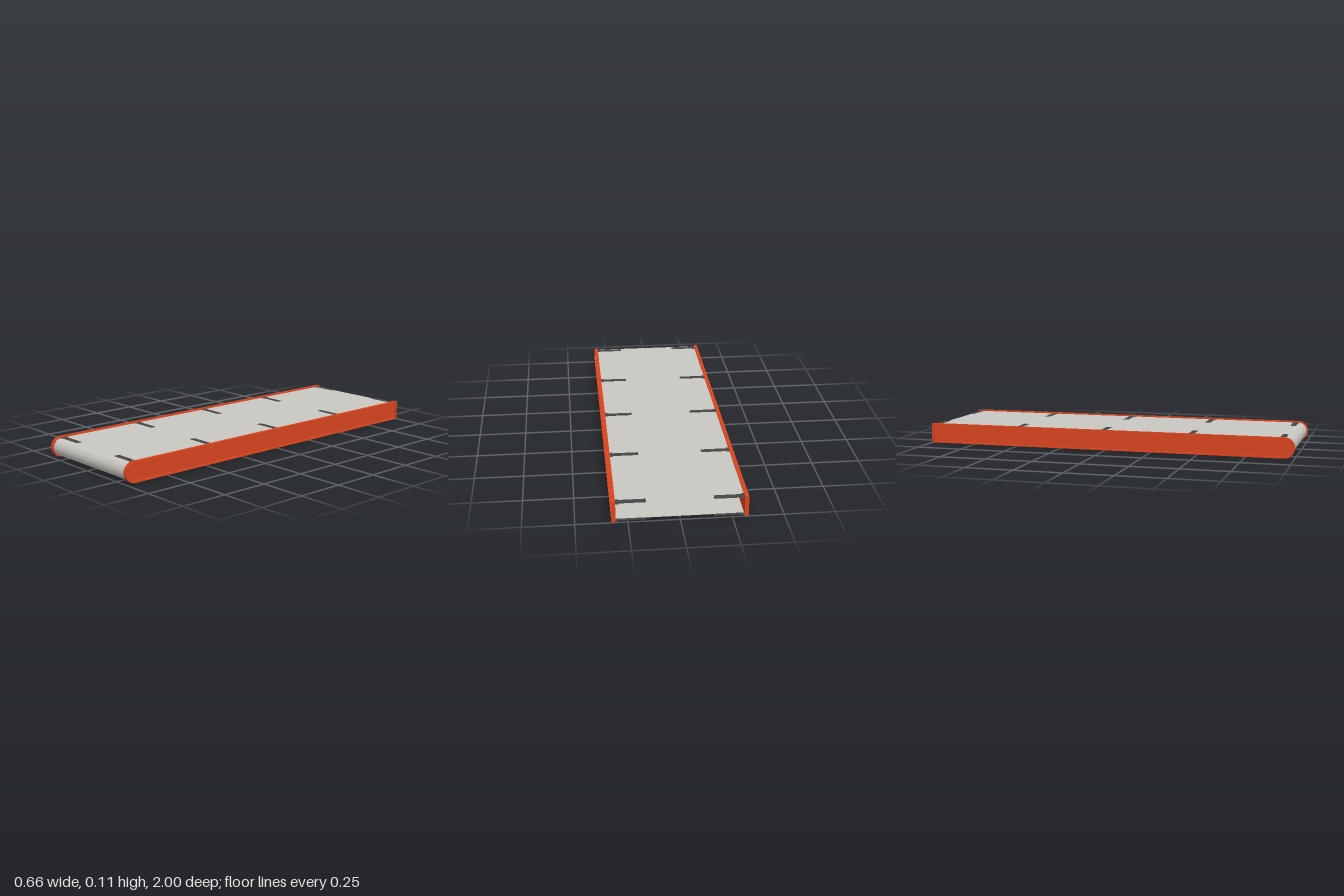
import * as THREE from 'three';

const CENTRE_Y = 0.0535; // mid height shared by rails and belt
const NOSE_Z = 0.9465;   // centre of the rounded front end

// Outline in the z-y plane: square at the back, half round at the front
function noseOutline(PathType, back, r) {
  const p = new PathType();
  p.moveTo(back, CENTRE_Y - r);
  p.lineTo(NOSE_Z, CENTRE_Y - r);
  p.absarc(NOSE_Z, CENTRE_Y, r, -Math.PI / 2, Math.PI / 2, false);
  p.lineTo(back, CENTRE_Y + r);
  p.closePath();
  return p;
}

// Extrude a z-y outline sideways, centred on x = 0
function extrudeAcross(shape, width) {
  const g = new THREE.ExtrudeGeometry(shape, { depth: width, bevelEnabled: false, curveSegments: 8 });
  g.translate(0, 0, -width / 2);
  g.rotateY(-Math.PI / 2);
  return g;
}

export function createModel() {
  const model = new THREE.Group();
  model.name = 'conveyor';
  const red = new THREE.MeshStandardMaterial({ color: 0xd9441f });
  red.name = 'orange red paint';
  const grey = new THREE.MeshStandardMaterial({ color: 0xc8c6c0 });
  grey.name = 'light grey belt';
  const dark = new THREE.MeshStandardMaterial({ color: 0x464646 });
  dark.name = 'dark grey metal';

  const add = (parent, name, geometry, material, x = 0, y = 0, z = 0) => {
    const mesh = new THREE.Mesh(geometry, material);
    mesh.name = name;
    mesh.position.set(x, y, z);
    parent.add(mesh);
  };

  // Belt: thin sheet wrapped around the nose, open at the back
  const outer = 0.047, inner = 0.0455, back = -0.978;
  const sheet = new THREE.Shape();
  sheet.moveTo(back, CENTRE_Y - outer);
  sheet.lineTo(NOSE_Z, CENTRE_Y - outer);
  sheet.absarc(NOSE_Z, CENTRE_Y, outer, -Math.PI / 2, Math.PI / 2, false);
  sheet.lineTo(back, CENTRE_Y + outer);
  sheet.lineTo(back, CENTRE_Y + inner);
  sheet.lineTo(NOSE_Z, CENTRE_Y + inner);
  sheet.absarc(NOSE_Z, CENTRE_Y, inner, Math.PI / 2, -Math.PI / 2, true);
  sheet.lineTo(back, CENTRE_Y - inner);
  sheet.closePath();
  add(model, 'belt', extrudeAcross(sheet, 0.618), grey);

  // Side rails: a web on the inside with a rim standing outward
  const rim = noseOutline(THREE.Shape, -1, 0.0535);
  rim.holes.push(noseOutline(THREE.Path, -0.993, 0.0465));
  const rimGeometry = extrudeAcross(rim, 0.02);
  const webGeometry = extrudeAcross(noseOutline(THREE.Shape, -0.995, 0.05), 0.006);

  // Support arms: thin strips with a wider foot at the rail
  const armGeometry = new THREE.BoxGeometry(0.14, 0.002, 0.03);
  const footGeometry = new THREE.BoxGeometry(0.016, 0.002, 0.044);

  for (const side of [-1, 1]) {
    const rail = new THREE.Group();
    rail.name = side > 0 ? 'leftRail' : 'rightRail';
    add(rail, 'railRim', rimGeometry, red, side * 0.318);
    add(rail, 'railWeb', webGeometry, red, side * 0.3115);
    model.add(rail);

    for (let i = 0; i < 5; i++) {
      const z = -0.978 + i * 0.478;
      for (const level of [-1, 1]) {
        const y = CENTRE_Y + level * 0.0466;
        add(model, 'supportArm', armGeometry, dark, side * 0.232, y, z);
        add(model, 'supportFoot', footGeometry, dark, side * 0.301, y, z);
      }
    }
  }
  return model;
}
